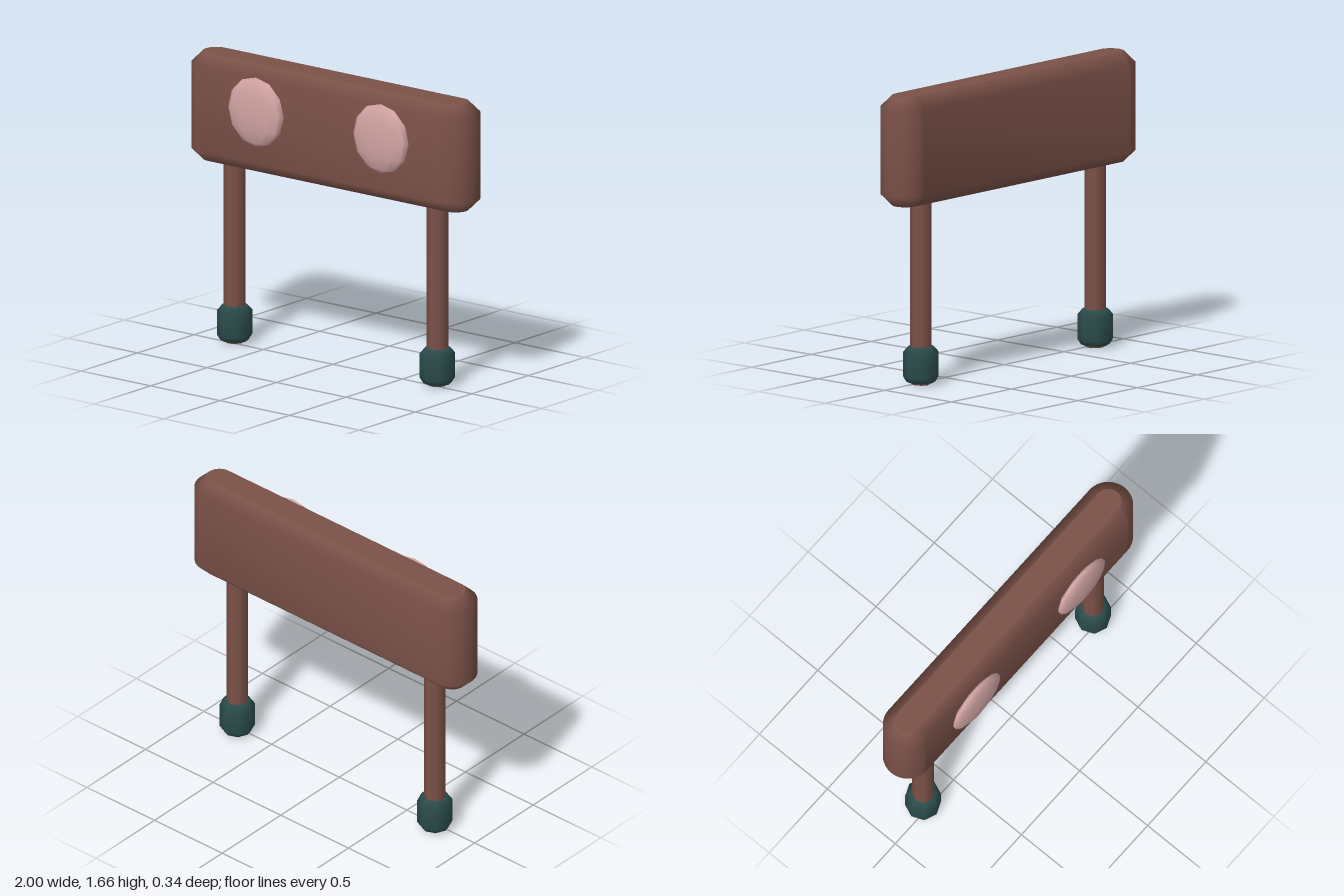
import * as THREE from 'three';
import { mergeVertices, mergeGeometries } from 'three/addons/utils/BufferGeometryUtils.js';

const brown = new THREE.MeshStandardMaterial({ name: 'brown', color: 0x7b5148 });
const pink = new THREE.MeshStandardMaterial({ name: 'pink', color: 0xd4a5a5 });
const green = new THREE.MeshStandardMaterial({ name: 'dark green', color: 0x2b4b4b });

const CZ = -0.028; // depth centre of the board and legs

function add(parent, name, geometry, material, x, y, z) {
  const mesh = new THREE.Mesh(geometry, material);
  mesh.name = name;
  mesh.position.set(x, y, z);
  parent.add(mesh);
  return mesh;
}

// Smooth the walls of an extrusion while its caps stay flat
function smoothWalls(geometry) {
  const source = geometry.getAttribute('position').array;
  const parts = geometry.groups.map(({ start, count }) => {
    const part = new THREE.BufferGeometry();
    part.setAttribute('position', new THREE.BufferAttribute(source.slice(start * 3, (start + count) * 3), 3));
    const merged = mergeVertices(part, 1e-4);
    merged.computeVertexNormals();
    return merged;
  });
  return mergeGeometries(parts);
}

// Round-ended plan with a single chamfer at top and bottom
function boardGeometry() {
  const bevel = 0.065, r = 0.0745, end = 1 - bevel - r;
  const plan = new THREE.Shape();
  plan.moveTo(-end, -r);
  plan.lineTo(end, -r);
  plan.absarc(end, 0, r, -Math.PI / 2, Math.PI / 2, false);
  plan.lineTo(-end, r);
  plan.absarc(-end, 0, r, Math.PI / 2, Math.PI * 1.5, false);
  const geometry = new THREE.ExtrudeGeometry(plan, {
    depth: 0.495, bevelEnabled: true, bevelSegments: 1,
    bevelSize: bevel, bevelThickness: bevel, curveSegments: 16,
  });
  geometry.rotateX(-Math.PI / 2);
  return smoothWalls(geometry);
}

export function createModel() {
  const model = new THREE.Group();
  model.name = 'postedBoard';

  add(model, 'board', boardGeometry(), brown, 0, 1.105, CZ);

  // Chamfered foot, open in the middle where the leg passes through
  const footProfile = [[0.05, 0.008], [0.08, 0.014], [0.1, 0.045], [0.1, 0.185], [0.072, 0.217], [0.05, 0.217]]
    .map(([r, y]) => new THREE.Vector2(r, y));
  const foot = new THREE.LatheGeometry(footProfile, 8);
  const leg = new THREE.CylinderGeometry(0.061, 0.061, 1.06, 8);
  const tip = new THREE.CylinderGeometry(0.061, 0.052, 0.02, 8);
  const disc = new THREE.SphereGeometry(1, 12, 6);

  for (const side of [-1, 1]) {
    const label = side > 0 ? 'left' : 'right';
    add(model, label + 'Leg', leg, brown, side * 0.73, 0.55, CZ);
    add(model, label + 'LegTip', tip, brown, side * 0.73, 0.01, CZ);
    add(model, label + 'Foot', foot, green, side * 0.73, 0, CZ);
    // Flattened round button on the front face
    add(model, label + 'Disc', disc, pink, side * 0.45, 1.41, 0.128).scale.set(0.2, 0.2, 0.041);
  }
  return model;
}
